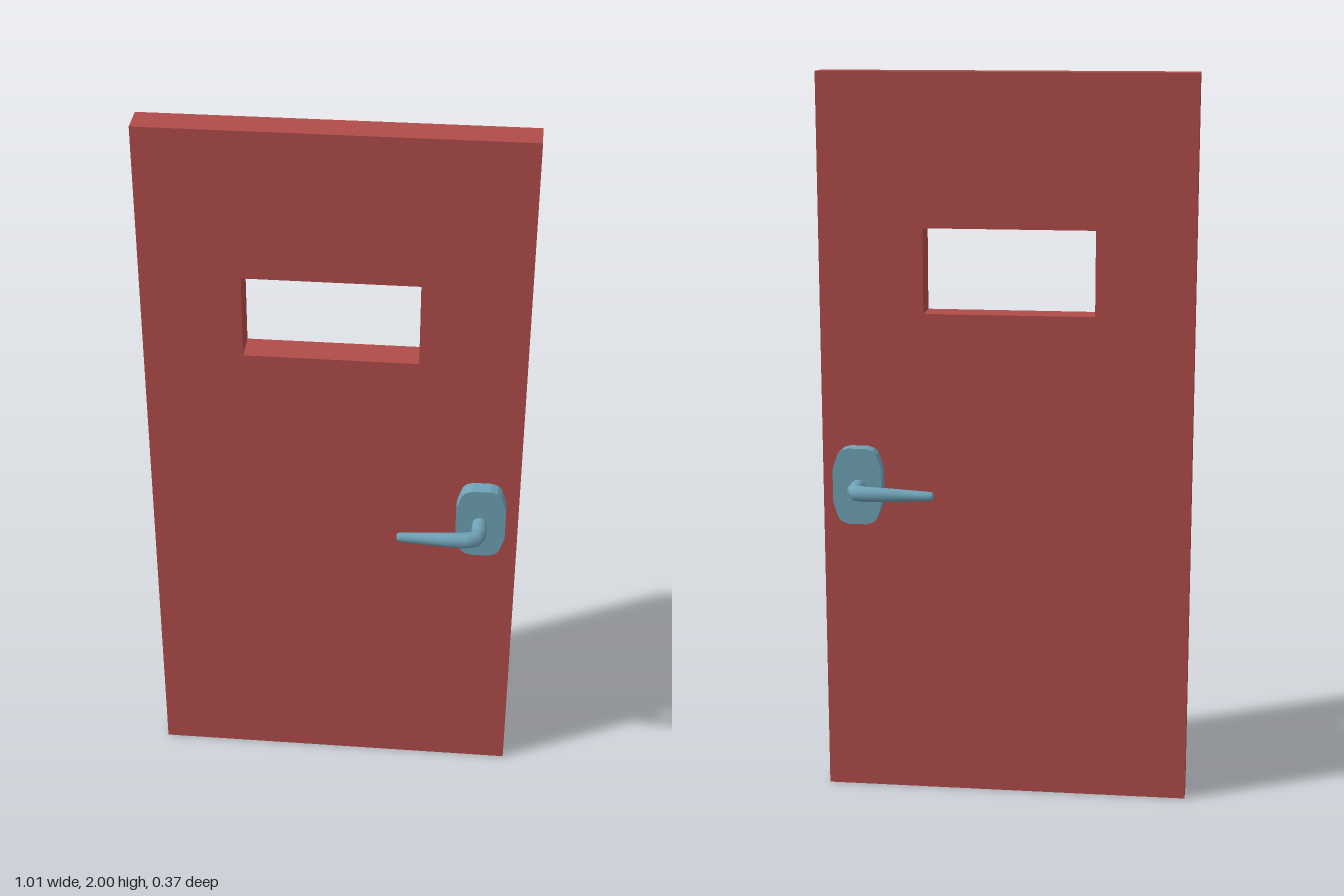
import * as THREE from 'three';

const red = new THREE.MeshStandardMaterial({ color: 0xb04c49, side: THREE.DoubleSide });
red.name = 'red paint';
const steel = new THREE.MeshStandardMaterial({ color: 0x6fa2b6 });
steel.name = 'blue steel';

const DOOR_Z = 0.043; // half the door's thickness

function mesh(name, geometry, material) {
  const m = new THREE.Mesh(geometry, material);
  m.name = name;
  return m;
}

function polygon(points) {
  return points.map(([x, y]) => new THREE.Vector2(x, y));
}

// Slab with a window opening; the underside is left open
function doorGeometry() {
  const shape = new THREE.Shape(polygon([[-0.505, 0], [0.505, 0], [0.505, 2], [-0.505, 2]]));
  shape.holes.push(new THREE.Path(polygon([[-0.24, 1.36], [-0.24, 1.59], [0.222, 1.59], [0.222, 1.36]])));
  const geo = new THREE.ExtrudeGeometry(shape, { depth: 2 * DOOR_Z, bevelEnabled: false });
  geo.translate(0, 0, -DOOR_Z);
  const pos = geo.attributes.position;
  const keep = [];
  for (let i = 0; i < pos.count; i += 3) {
    if ([0, 1, 2].some((k) => pos.getY(i + k) > 0.001)) keep.push(i, i + 1, i + 2);
  }
  geo.clearGroups();
  geo.setIndex(keep);
  return geo;
}

// Chamfered oval plate, symmetric in x and y
function plateGeometry() {
  const quarter = [[0.0675, 0.045], [0.06, 0.07], [0.053, 0.09], [0.043, 0.1], [0.025, 0.106]];
  const half = [...quarter, ...quarter.map(([x, y]) => [-x, y]).reverse()];
  const outline = [...half, ...half.map(([x, y]) => [-x, -y])];
  const geo = new THREE.ExtrudeGeometry(new THREE.Shape(polygon(outline)), { depth: 0.042, bevelEnabled: false });
  return geo.translate(0.003, 0, DOOR_Z);
}

// Round sections swept along the stem, round the bend and down the tapered lever
function leverGeometry() {
  const sections = [ // x, z, radius
    [0, 0.07, 0.02], [0, 0.132, 0.021], [-0.01, 0.155, 0.022], [-0.038, 0.164, 0.0215],
    [-0.1, 0.165, 0.019], [-0.2, 0.165, 0.0135], [-0.215, 0.165, 0.012], [-0.22, 0.165, 0.008], [-0.2205, 0.165, 0],
  ];
  const sides = 12;
  const positions = [];
  const indices = [];
  const up = new THREE.Vector3(0, 1, 0);
  const at = (i) => {
    const s = sections[Math.min(Math.max(i, 0), sections.length - 1)];
    return new THREE.Vector3(s[0], 0, s[1]);
  };
  sections.forEach(([, , r], i) => {
    const before = at(i).sub(at(i - 1)).normalize();
    const after = at(i + 1).sub(at(i)).normalize();
    const across = up.clone().cross(before.add(after).normalize());
    for (let j = 0; j < sides; j++) {
      const a = (j / sides) * Math.PI * 2;
      const p = at(i).addScaledVector(across, r * Math.cos(a)).addScaledVector(up, r * Math.sin(a));
      positions.push(p.x, p.y, p.z);
      if (i === sections.length - 1) continue;
      const p0 = i * sides + j;
      const p1 = i * sides + ((j + 1) % sides);
      indices.push(p0, p1, p1 + sides, p0, p1 + sides, p0 + sides);
    }
  });
  const geo = new THREE.BufferGeometry();
  geo.setAttribute('position', new THREE.Float32BufferAttribute(positions, 3));
  geo.setIndex(indices);
  geo.computeVertexNormals();
  return geo;
}

export function createModel() {
  const model = new THREE.Group();
  model.name = 'door';
  model.add(mesh('doorPanel', doorGeometry(), red));

  // One handle on each face; half a turn about x carries it to the back
  const plate = plateGeometry();
  const lever = leverGeometry();
  [['frontHandle', 0], ['backHandle', Math.PI]].forEach(([name, turn]) => {
    const handle = new THREE.Group();
    handle.name = name;
    handle.add(mesh('handlePlate', plate, steel), mesh('lever', lever, steel));
    handle.position.set(0.4, 0.886, 0);
    handle.rotation.x = turn;
    model.add(handle);
  });
  return model;
}
